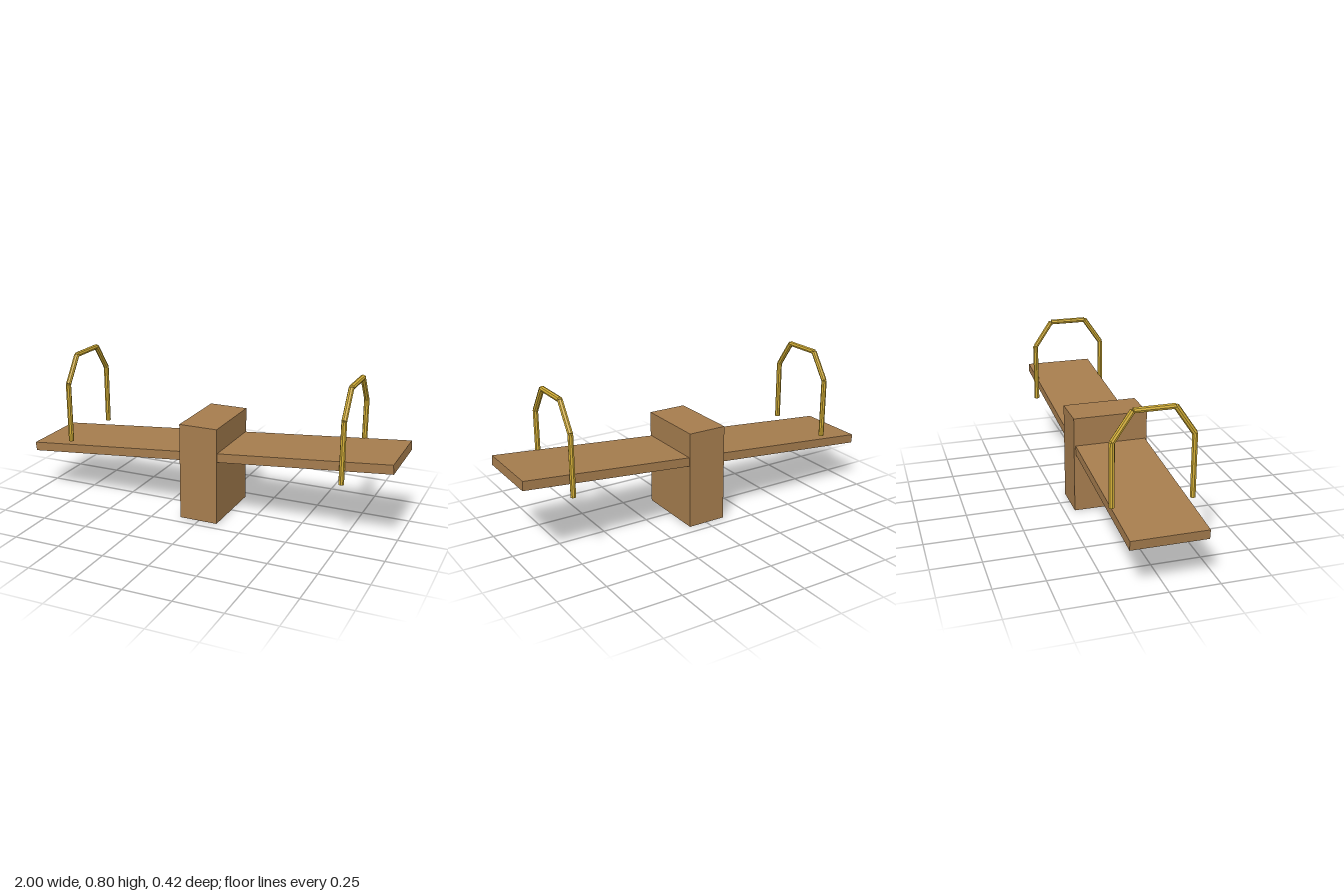
import * as THREE from 'three';

export function createModel() {
  const wood = new THREE.MeshStandardMaterial({ color: 0xa67d4e });
  wood.name = 'wood';
  const brass = new THREE.MeshStandardMaterial({ color: 0xd4af37, flatShading: true });
  brass.name = 'brass';

  const model = new THREE.Group();
  model.name = 'seesaw';

  function box(name, w, h, d, x, y) {
    const mesh = new THREE.Mesh(new THREE.BoxGeometry(w, h, d), wood);
    mesh.name = name;
    mesh.position.set(x, y, 0);
    model.add(mesh);
    return mesh;
  }

  // Central support block and the tilted plank through it
  box('supportBlock', 0.207, 0.514, 0.39, -0.003, 0.257);
  box('plank', 2.004, 0.047, 0.373, 0, 0.351).rotation.z = 0.0908;

  // Straight octagonal bar between two [z, y] points
  function bar(name, [z0, y0], [z1, y1]) {
    const dz = z1 - z0, dy = y1 - y0;
    const mesh = new THREE.Mesh(
      new THREE.CylinderGeometry(0.014, 0.014, Math.hypot(dz, dy), 8), brass);
    mesh.name = name;
    mesh.position.set(0, (y0 + y1) / 2, (z0 + z1) / 2);
    mesh.rotation.x = Math.atan2(dz, dy);
    return mesh;
  }

  // Arched handles, each of two posts, two slanted bars and a top bar
  for (const [name, x] of [['leftHandle', 0.753], ['rightHandle', -0.759]]) {
    const handle = new THREE.Group();
    handle.name = name;
    handle.position.x = x;
    for (const s of [1, -1]) {
      handle.add(
        bar('post', [s * 0.195, 0.331], [s * 0.195, 0.647]),
        bar('slantedBar', [s * 0.194, 0.648], [s * 0.1, 0.786]));
    }
    handle.add(bar('topBar', [-0.098, 0.786], [0.098, 0.786]));
    model.add(handle);
  }
  return model;
}
